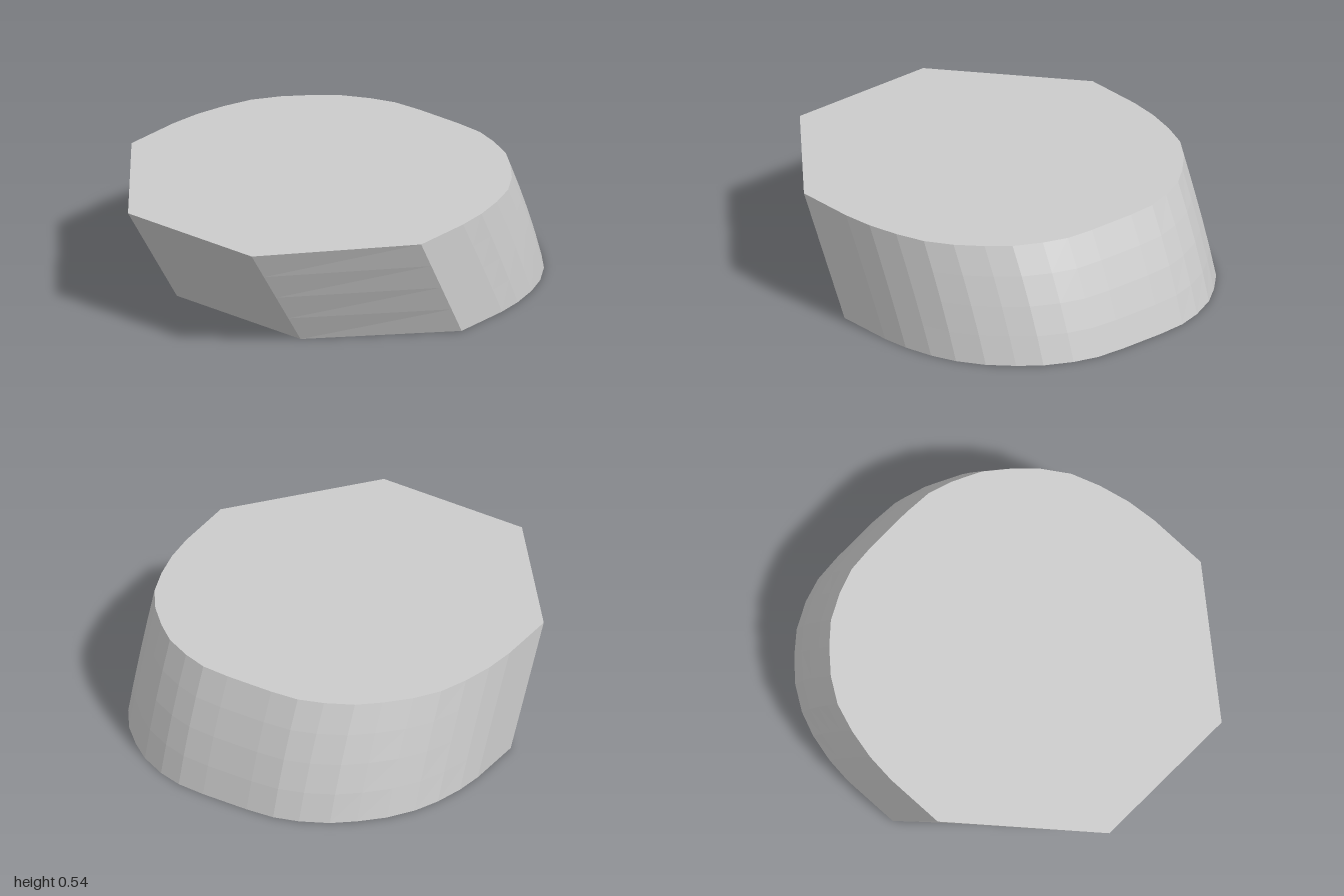
import * as THREE from 'three';

const HEIGHT = 0.54;
const LEVELS = 4;

// Half outline from the blunt front round to the back: [x, z at top, z at base]
const HALF = [
  [0.38, 1, 0.65], [0.89, 0.38, 0.09], [0.89, 0.08, -0.2], [0.875, -0.07, -0.33],
  [0.84, -0.22, -0.47], [0.79, -0.36, -0.59], [0.71, -0.48, -0.71], [0.61, -0.585, -0.81],
  [0.51, -0.67, -0.89], [0.38, -0.735, -0.955], [0.26, -0.775, -0.99], [0.12, -0.785, -1],
];

// One horizontal section; the rear wall bulges slightly at mid height
function section(outline, t) {
  return outline.map(([x, zTop, zBase]) => {
    const bulge = 0.015 * 4 * t * (1 - t) * Math.max(0, -zBase);
    return [x, HEIGHT * t, THREE.MathUtils.lerp(zBase, zTop, t) - bulge];
  });
}

function slantedBlock() {
  const mirrored = HALF.map(([x, a, b]) => [-x, a, b]).reverse();
  const outline = [...HALF, ...mirrored];
  const n = outline.length;
  const positions = [];
  const index = [];
  for (let k = 0; k <= LEVELS; k++) {
    positions.push(...section(outline, k / LEVELS).flat());
  }

  // Leaning side walls
  for (let k = 0; k < LEVELS; k++) {
    for (let i = 0; i < n; i++) {
      const j = (i + 1) % n;
      const a = k * n + i, b = k * n + j;
      index.push(a, b, b + n, a, b + n, a + n);
    }
  }

  // Flat base and top
  const top = LEVELS * n;
  for (let i = 1; i < n - 1; i++) {
    index.push(0, i + 1, i);
    index.push(top, top + i, top + i + 1);
  }

  const indexed = new THREE.BufferGeometry();
  indexed.setAttribute('position', new THREE.Float32BufferAttribute(positions, 3));
  indexed.setIndex(index);
  const geometry = indexed.toNonIndexed();
  geometry.computeVertexNormals();
  return geometry;
}

export function createModel() {
  const group = new THREE.Group();
  group.name = 'slantedBlockModel';
  const material = new THREE.MeshStandardMaterial({ color: 0xcccccc, flatShading: true });
  const block = new THREE.Mesh(slantedBlock(), material);
  block.name = 'slantedBlock';
  group.add(block);
  return group;
}
